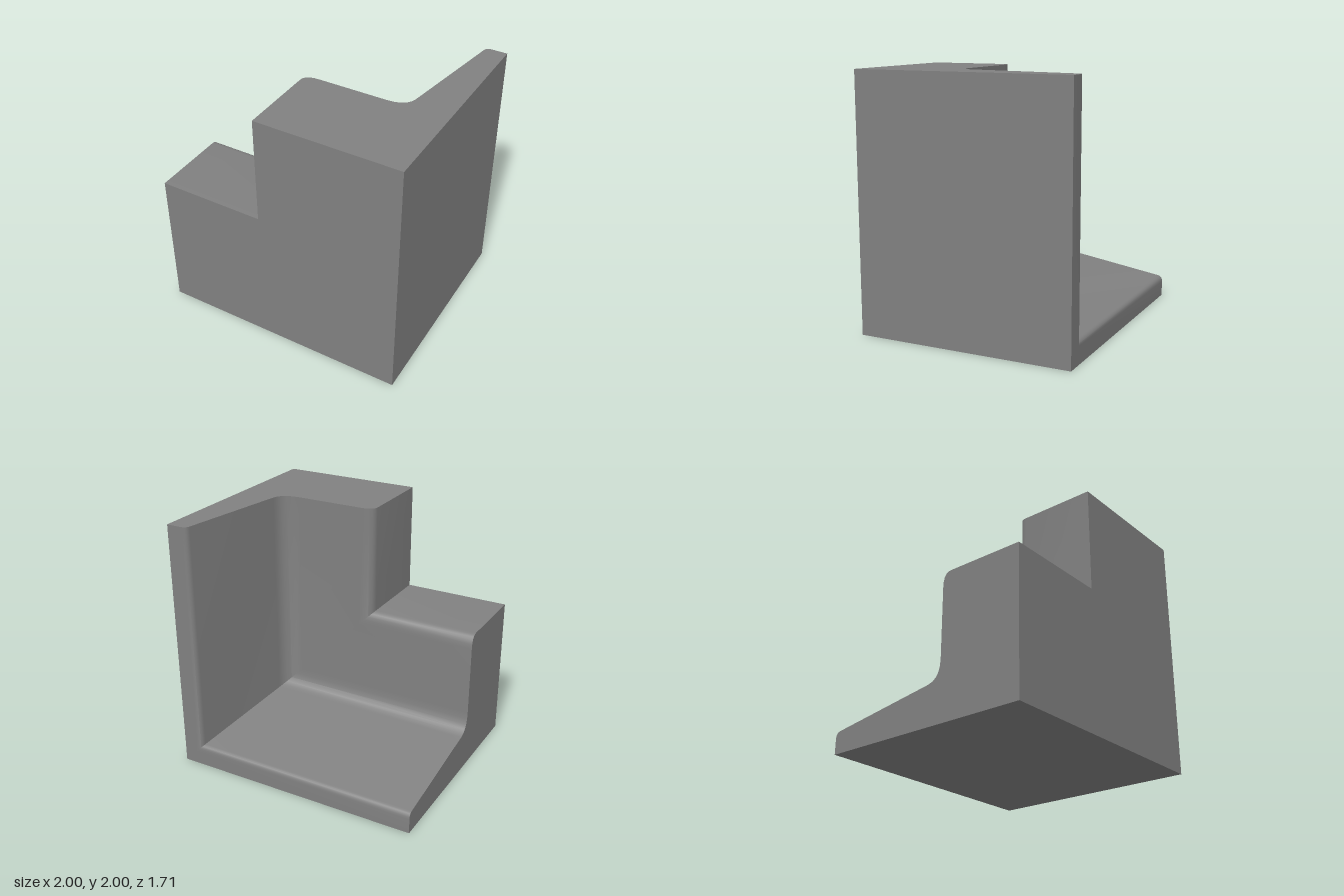
import * as THREE from 'three';
import { toCreasedNormals } from 'three/addons/utils/BufferGeometryUtils.js';

const BACK = -0.857, FRONT = 0.857;

// Rounded corner from a to b, pulled towards the sharp corner c
function fillet(a, c, b, segments = 5) {
  const v = (p) => new THREE.Vector2(p[0], p[1]);
  return new THREE.QuadraticBezierCurve(v(a), v(c), v(b)).getPoints(segments);
}

// Closed cross-section: x = thickness from the outer face, y = depth (z)
function crossSection() {
  return [
    new THREE.Vector2(0, BACK),
    ...fillet([0.12, BACK], [0.165, BACK], [0.172, -0.82]), // thin back lip
    ...fillet([0.31, 0.06], [0.328, 0.17], [0.48, 0.17]), // inner hollow
    ...fillet([1.03, 0.17], [1.143, 0.17], [1.143, 0.24]), // step edge
    new THREE.Vector2(1.143, FRONT),
    new THREE.Vector2(0, FRONT),
  ];
}

// Sweeps the section down the side wall and along the floor, mitred at the corner
function corniceGeometry() {
  const ring = crossSection();
  const n = ring.length;
  const positions = [];
  const indices = [];
  const stations = [(d) => [1 - d, 2], (d) => [1 - d, d], (d) => [-1, d]];
  for (const station of stations) {
    for (const p of ring) positions.push(...station(p.x), p.y);
  }
  for (let k = 0; k < 2; k++) {
    for (let i = 0; i < n; i++) {
      const j = (i + 1) % n;
      const a = k * n + i, b = a + n, c = k * n + j, d = c + n;
      indices.push(a, b, c, c, b, d);
    }
  }
  // End caps
  for (const [a, b, c] of THREE.ShapeUtils.triangulateShape(ring, [])) {
    indices.push(a, b, c, 2 * n + a, 2 * n + c, 2 * n + b);
  }
  const geometry = new THREE.BufferGeometry();
  geometry.setAttribute('position', new THREE.Float32BufferAttribute(positions, 3));
  geometry.setIndex(indices);
  return toCreasedNormals(geometry, 0.6);
}

export function createModel() {
  const group = new THREE.Group();
  group.name = 'cornerBlock';
  const grey = new THREE.MeshStandardMaterial({ color: 0x808080 });
  grey.name = 'grey';
  const body = new THREE.Mesh(corniceGeometry(), grey);
  body.name = 'wallAndFloor';
  group.add(body);
  return group;
}
